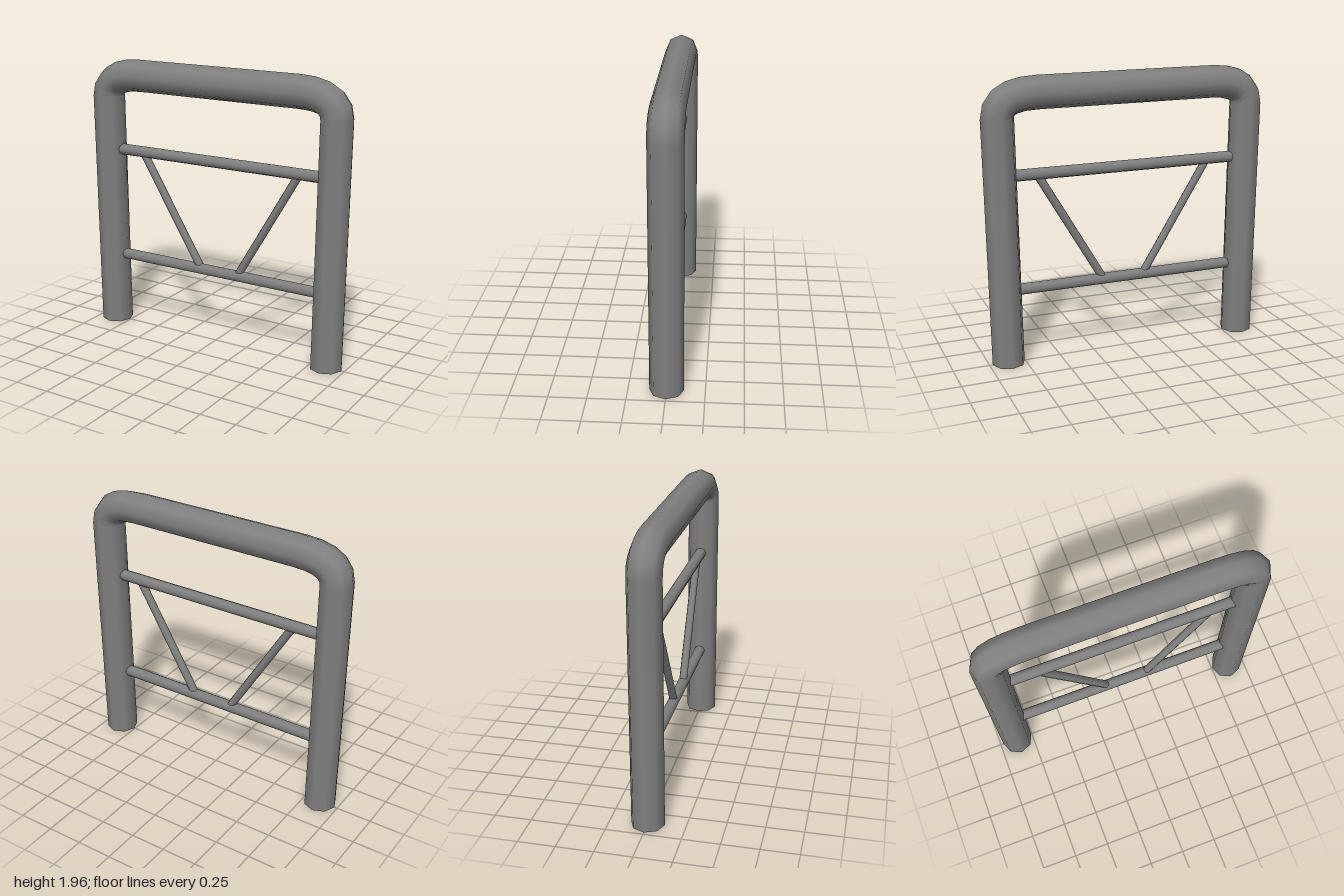
import * as THREE from 'three';

const material = new THREE.MeshStandardMaterial({ color: 0x808080, side: THREE.DoubleSide });
const V = (x, y) => new THREE.Vector3(x, y, 0);

// Curve sampled exactly at the given stations (point + tangent)
class StationCurve extends THREE.Curve {
  constructor(stations) {
    super();
    this.stations = stations;
  }
  at(u) {
    return this.stations[Math.round(u * (this.stations.length - 1))];
  }
  getPointAt(u, target = new THREE.Vector3()) {
    return target.copy(this.at(u).point);
  }
  getTangentAt(u, target = new THREE.Vector3()) {
    return target.copy(this.at(u).tangent);
  }
}

// Bent pipe: slightly splayed legs, quadratic bends, straight top
function createFrame() {
  const bend = new THREE.QuadraticBezierCurve3(V(-0.888, 1.69), V(-0.888, 1.844), V(-0.62, 1.844));
  const half = [{ point: V(-0.867, 0), tangent: V(0, 1) }];
  for (let i = 0; i <= 5; i++) {
    half.push({ point: bend.getPoint(i / 5), tangent: bend.getTangent(i / 5) });
  }
  const mirrored = half.map(({ point, tangent }) => ({
    point: V(-point.x, point.y),
    tangent: V(tangent.x, -tangent.y),
  })).reverse();
  const stations = [...half, ...mirrored];
  const geometry = new THREE.TubeGeometry(new StationCurve(stations), stations.length - 1, 0.112, 8, false);
  const mesh = new THREE.Mesh(geometry, material);
  mesh.name = 'bentPipeFrame';
  return mesh;
}

// Straight round bar between two points
function createBar(name, from, to, radius) {
  const direction = to.clone().sub(from);
  const mesh = new THREE.Mesh(new THREE.CylinderGeometry(radius, radius, direction.length(), 8), material);
  mesh.position.copy(from).add(to).multiplyScalar(0.5);
  mesh.quaternion.setFromUnitVectors(V(0, 1), direction.normalize());
  mesh.name = name;
  return mesh;
}

export function createModel() {
  const group = new THREE.Group();
  group.name = 'barrier';
  group.add(
    createFrame(),
    createBar('upperCrossbar', V(-0.8, 1.306), V(0.8, 1.306), 0.04),
    createBar('lowerCrossbar', V(-0.8, 0.519), V(0.8, 0.519), 0.04),
    createBar('rightBrace', V(-0.125, 0.53), V(-0.587, 1.285), 0.028),
    createBar('leftBrace', V(0.18, 0.53), V(0.622, 1.285), 0.028),
  );
  return group;
}
